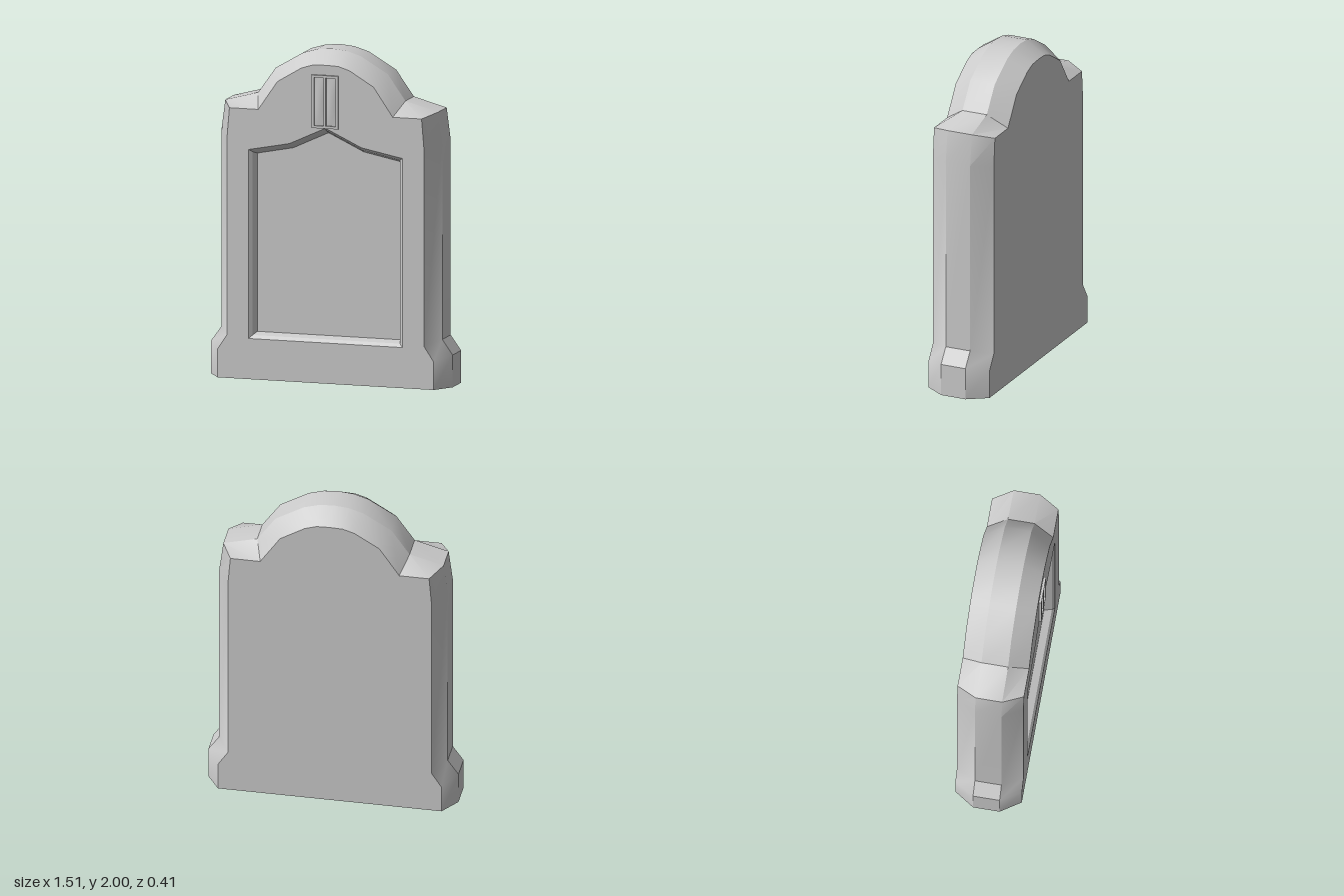
import * as THREE from 'three';
import { toCreasedNormals } from 'three/addons/utils/BufferGeometryUtils.js';

const material = new THREE.MeshStandardMaterial({ color: 0xcccccc, side: THREE.DoubleSide });

// Mirror a right-hand half outline (bottom to top centre) into a full counterclockwise one
const mirror = (half) => {
  const left = half.slice(0, -1).reverse().map(([x, y]) => [-x, y]);
  return [...half, ...left].map(([x, y]) => new THREE.Vector2(x, y));
};

// Skin a stack of matching outlines, each with its own depth
function loft(rings, closed) {
  const n = rings[0].points.length;
  const positions = [], index = [];
  for (const { points, z } of rings) for (const p of points) positions.push(p.x, p.y, z);
  for (let r = 0; r < rings.length - 1; r++) {
    for (let i = 0; i < (closed ? n : n - 1); i++) {
      const j = (i + 1) % n;
      const a = r * n + i, b = r * n + j, c = a + n, d = b + n;
      index.push(a, c, d, a, d, b);
    }
  }
  const geometry = new THREE.BufferGeometry();
  geometry.setAttribute('position', new THREE.Float32BufferAttribute(positions, 3));
  geometry.setIndex(index);
  return toCreasedNormals(geometry, 0.54);
}

const rectangle = (Type, x0, y0, x1, y1) => new Type([
  new THREE.Vector2(x0, y0), new THREE.Vector2(x1, y0),
  new THREE.Vector2(x1, y1), new THREE.Vector2(x0, y1),
]);

export function createModel() {
  const group = new THREE.Group();
  const add = (name, geometry, parent = group) => {
    const mesh = new THREE.Mesh(geometry, material);
    mesh.name = name;
    parent.add(mesh);
    return mesh;
  };

  const FRONT = 0.19, BACK = -0.21;

  // Silhouette at mid depth, and the smaller outline of the front and back faces
  const rim = mirror([
    [0.755, 0], [0.755, 0.195], [0.69, 0.285], [0.69, 1.465], [0.665, 1.655],
    [0.46, 1.71], [0.35, 1.865], [0.18, 1.965], [0.09, 1.992], [0, 2],
  ]);
  const face = mirror([
    [0.675, 0], [0.675, 0.17], [0.615, 0.26], [0.615, 1.45], [0.6, 1.63],
    [0.42, 1.63], [0.3, 1.805], [0.15, 1.895], [0.08, 1.917], [0, 1.92],
  ]);

  // Bevelled edge running round the stone, open underneath
  add('stoneEdge', loft([
    { points: face, z: FRONT }, { points: rim, z: 0.07 },
    { points: rim, z: -0.09 }, { points: face, z: BACK },
  ], false));

  // Sunken panel outlines: opening, chamfer, floor
  const opening = mirror([[0.48, 0.245], [0.48, 1.385], [0.225, 1.435], [0, 1.54]]);
  const chamfer = mirror([[0.46, 0.265], [0.46, 1.37], [0.222, 1.42], [0, 1.523]]);
  const floor = mirror([[0.445, 0.28], [0.445, 1.355], [0.22, 1.4], [0, 1.503]]);
  const FLOOR = FRONT - 0.06;

  const frontShape = new THREE.Shape(face);
  frontShape.holes.push(new THREE.Path(opening));
  add('frontFace', new THREE.ShapeGeometry(frontShape)).position.z = FRONT;

  const back = add('backFace', new THREE.ShapeGeometry(new THREE.Shape(face)));
  back.rotation.y = Math.PI;
  back.position.z = BACK;

  add('panelBorder', loft([
    { points: floor, z: FLOOR }, { points: chamfer, z: FRONT - 0.015 }, { points: opening, z: FRONT },
  ], true));
  add('panelFloor', new THREE.ShapeGeometry(new THREE.Shape(floor))).position.z = FLOOR;

  // Small twin-pane ornament above the panel
  const ornament = new THREE.Group();
  ornament.name = 'windowOrnament';
  ornament.position.set(0, 1.7, FRONT);
  group.add(ornament);

  const frame = rectangle(THREE.Shape, -0.083, -0.16, 0.083, 0.16);
  for (const [x0, x1] of [[-0.068, -0.006], [0.006, 0.068]]) {
    frame.holes.push(rectangle(THREE.Path, x0, -0.145, x1, 0.145));
  }
  add('windowFrame', new THREE.ExtrudeGeometry(frame, { depth: 0.015, bevelEnabled: false }), ornament);

  // Gently swelling panes
  for (const side of [-1, 1]) {
    const pane = new THREE.PlaneGeometry(0.062, 0.29, 4, 8);
    const p = pane.attributes.position;
    for (let i = 0; i < p.count; i++) {
      const u = p.getX(i) / 0.031, v = p.getY(i) / 0.145;
      p.setZ(i, 0.002 + 0.006 * (1 - u * u) * (1 - v * v));
    }
    pane.computeVertexNormals();
    add(side > 0 ? 'leftPane' : 'rightPane', pane, ornament).position.x = side * 0.037;
  }

  return group;
}
